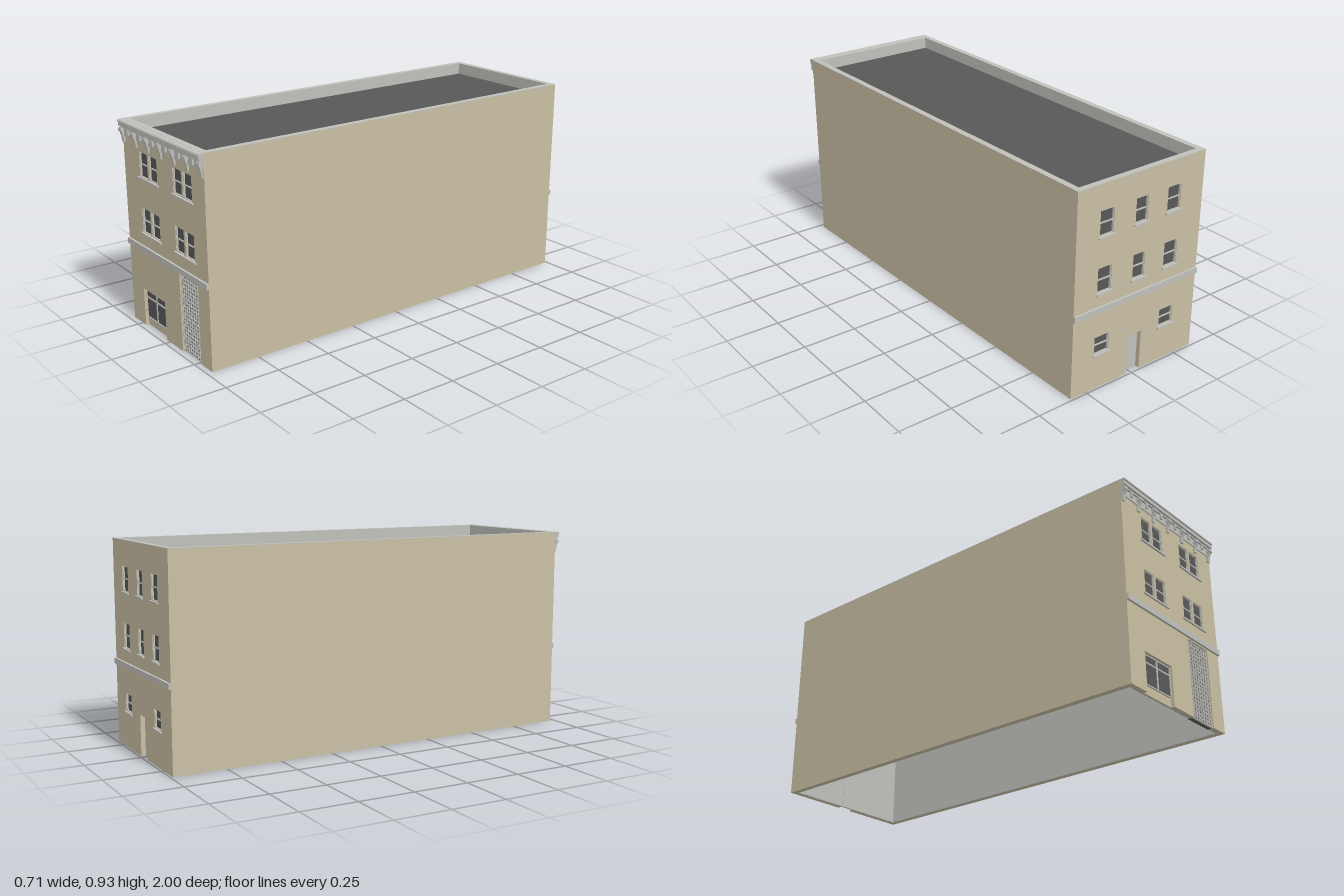
import * as THREE from 'three';
import { mergeGeometries } from 'three/addons/utils/BufferGeometryUtils.js';

const stone = new THREE.MeshStandardMaterial({ color: 0xc9bfa3 });
stone.name = 'tan stone';
const trim = new THREE.MeshStandardMaterial({ color: 0xc0c0bb });
trim.name = 'light grey trim';
const dark = new THREE.MeshStandardMaterial({ color: 0x585858 });
dark.name = 'dark grey glass and roofing';

const H = 0.925, HALF = 0.3415, FRONT = 0.975, BACK = -0.99, WALL = 0.022, LINER = 0.006;

// The plan is a slight parallelogram: x slides with z
const SHEAR = 0.0122;
const shear = new THREE.Matrix4().set(1, 0, SHEAR, 0, 0, 1, 0, 0, 0, 0, 1, 0, 0, 0, 0, 1);

// Box given by its limits on each axis
function box(x0, x1, y0, y1, z0, z1) {
  return new THREE.BoxGeometry(x1 - x0, y1 - y0, z1 - z0)
    .translate((x0 + x1) / 2, (y0 + y1) / 2, (z0 + z1) / 2);
}

function rectPath(PathType, x0, x1, y0, y1) {
  return new PathType([[x0, y0], [x1, y0], [x1, y1], [x0, y1]].map(p => new THREE.Vector2(...p)));
}

// Extruded profile (z, y) running along x from x0 to x1
function profile(points, x0, x1) {
  const s = new THREE.Shape(points.map(([z, y]) => new THREE.Vector2(-z, y)));
  return new THREE.ExtrudeGeometry(s, { depth: x1 - x0, bevelEnabled: false })
    .rotateY(Math.PI / 2).translate(x0, 0, 0);
}

function add(parent, name, material, geos) {
  const list = [].concat(geos).map(g => (g.index ? g.toNonIndexed() : g));
  const mesh = new THREE.Mesh(mergeGeometries(list).applyMatrix4(shear), material);
  mesh.name = name;
  parent.add(mesh);
}

// Facade in its own frame: outer face at z = 0, outward is +z, doorways reach the ground
function facade(name, place, u0, u1, windows, doorways, sills) {
  const group = new THREE.Group();
  group.name = name;
  const put = (part, mat, geos) => add(group, part, mat, [].concat(geos).map(place));

  const outline = [[u0, 0]];
  for (const [a, b, top] of doorways) outline.push([a, 0], [a, top], [b, top], [b, 0]);
  outline.push([u1, 0], [u1, H - 0.003], [u0, H - 0.003]);
  const wall = new THREE.Shape(outline.map(p => new THREE.Vector2(...p)));
  const glass = [], frames = [];
  for (const [a, b, c, d] of windows) {
    wall.holes.push(rectPath(THREE.Path, a, b, c, d));
    glass.push(box(a, b, c, d, -0.014, -0.01));
    const frame = rectPath(THREE.Shape, a, b, c, d);
    const t = 0.003, mid = (c + d) / 2;
    frame.holes.push(rectPath(THREE.Path, a + t, b - t, c + t, d - t));
    frames.push(new THREE.ExtrudeGeometry(frame, { depth: 0.007, bevelEnabled: false }).translate(0, 0, -0.01));
    frames.push(box(a + t, b - t, mid - 0.0025, mid + 0.0025, -0.01, -0.005));
  }
  put('wall', stone, new THREE.ExtrudeGeometry(wall, { depth: WALL, bevelEnabled: false }).translate(0, 0, -WALL));
  put('windowGlass', dark, glass);
  put('windowFrames', trim, frames);
  put('windowSills', trim, sills.map(([a, b, y]) => box(a, b, y - 0.008, y, -0.004, 0.008)));
  put('stringCourse', trim, box(u0, u1, 0.361, 0.386, -0.002, 0.01));
  return { group, put };
}

function frontFacade() {
  const windows = [], sills = [];
  for (const [y0, y1] of [[0.447, 0.56], [0.698, 0.81]]) {
    for (const x of [-0.19, 0.098]) {
      windows.push([x, x + 0.07, y0, y1], [x + 0.082, x + 0.152, y0, y1]);
      sills.push([x - 0.011, x + 0.164, y0]);
    }
  }
  const off = SHEAR * FRONT, u0 = -HALF + off, u1 = HALF + off;
  const { group, put } = facade('frontFacade', g => g.translate(-off, 0, FRONT), u0, u1,
    windows, [[-0.222, -0.03, 0.175], [0.112, 0.265, 0.355]], sills);

  // Recessed shop window
  put('shopPanel', stone, box(-0.222, -0.03, 0, 0.175, -0.022, -0.016));
  put('shopGlass', dark, box(-0.217, -0.035, 0.042, 0.17, -0.016, -0.013));
  put('shopFrame', trim, [
    box(-0.219, -0.033, 0.038, 0.043, -0.016, -0.009), box(-0.219, -0.033, 0.168, 0.172, -0.016, -0.009),
    box(-0.219, -0.215, 0.043, 0.168, -0.016, -0.009), box(-0.037, -0.033, 0.043, 0.168, -0.016, -0.009),
    box(-0.215, -0.037, 0.133, 0.139, -0.013, -0.009), box(-0.13, -0.123, 0.043, 0.168, -0.013, -0.0095)]);

  // Tall entrance screened by an ornamental grille
  put('entrancePanel', dark, box(0.112, 0.265, 0, 0.355, -0.03, -0.014));
  const grille = [], cols = 8, rows = 20, w = 0.149 / cols, h = 0.351 / rows;
  for (let i = 0; i <= cols; i++) {
    const x = 0.114 + i * w;
    grille.push(box(x - 0.0015, x + 0.0015, 0, 0.355, -0.01, -0.006));
    for (let j = 0; j < rows && i < cols; j++) {
      grille.push(new THREE.TorusGeometry(0.0062, 0.0014, 4, 8).translate(x + w / 2, 0.002 + (j + 0.5) * h, -0.008));
    }
  }
  for (let j = 0; j <= rows; j++) {
    const y = 0.002 + j * h;
    grille.push(box(0.112, 0.265, y - 0.001, y + 0.001, -0.0095, -0.0065));
  }
  put('entranceGrille', trim, grille);

  // Stepped cornice
  put('cornice', trim, profile([[-0.002, 0.852], [0.005, 0.852], [0.005, 0.886], [0.012, 0.888], [0.012, 0.894],
    [0.02, 0.896], [0.02, 0.912], [0.025, 0.914], [0.025, 0.919], [0.021, 0.9245], [-0.002, 0.9245]], u0, u1));

  // Scroll brackets with small blocks between them
  const brackets = [];
  for (let i = 0; i < 7; i++) {
    const x = -0.319 + i * 0.1097;
    brackets.push(profile([[0, 0.823], [0.007, 0.823], [0.01, 0.85], [0.017, 0.868], [0.017, 0.89], [0, 0.89]], x - 0.0085, x + 0.0085));
    brackets.push(profile([[0, 0.866], [0.013, 0.866], [0.021, 0.874], [0.021, 0.886], [0, 0.886]], x - 0.0125, x + 0.0125));
    if (i < 6) brackets.push(box(x + 0.05, x + 0.06, 0.864, 0.89, 0, 0.014));
  }
  put('corniceBrackets', trim, brackets);
  return group;
}

function backFacade() {
  const windows = [], sills = [], centres = [-0.173, 0.012, 0.19];
  const addWindow = (x, half, y0, y1) => {
    windows.push([x - half, x + half, y0, y1]);
    sills.push([x - half - 0.008, x + half + 0.008, y0]);
  };
  for (const [y0, y1] of [[0.447, 0.56], [0.698, 0.81]]) {
    centres.forEach((x, i) => addWindow(x, i === 1 ? 0.032 : 0.036, y0, y1));
  }
  addWindow(centres[0], 0.038, 0.163, 0.245);
  addWindow(centres[2], 0.038, 0.163, 0.245);
  const off = -SHEAR * BACK;
  const { group, put } = facade('backFacade', g => g.rotateY(Math.PI).translate(off, 0, BACK),
    -HALF + off, HALF + off, windows, [[-0.026, 0.05, 0.183]], sills);
  put('backDoor', trim, box(-0.026, 0.05, 0, 0.183, -0.03, -0.0205));
  return group;
}

export function createModel() {
  const model = new THREE.Group();
  model.name = 'townBuilding';
  model.add(frontFacade(), backFacade());

  // Long blank side walls
  const z0 = BACK + WALL, z1 = FRONT - WALL, xi = HALF - WALL, xl = xi - LINER;
  for (const s of [-1, 1]) {
    const side = (a, b, ...rest) => box(Math.min(s * a, s * b), Math.max(s * a, s * b), ...rest);
    add(model, s > 0 ? 'leftWall' : 'rightWall', stone, side(xi, HALF, 0, H - 0.003, z0, z1));
    add(model, s > 0 ? 'leftLining' : 'rightLining', trim, side(xl, xi, 0.001, H - 0.003, z0, z1));
    add(model, s > 0 ? 'leftCoping' : 'rightCoping', trim,
      side(xl, HALF, H - 0.003, H, z0 - LINER + 0.012, z1 - LINER));
  }

  // Inner linings and parapet coping at the ends
  add(model, 'endLinings', trim, [
    box(-xl, xl, 0.001, H - 0.003, z1 - LINER, z1), box(-xl, xl, 0.001, H - 0.003, z0, z0 + LINER)]);
  add(model, 'endCoping', trim, [
    box(-HALF, HALF, H - 0.003, H, z1 - LINER, FRONT), box(-HALF, HALF, H - 0.003, H, BACK, z0 + LINER)]);

  // Flat roof sunk behind the parapet, open underneath down to the ground
  add(model, 'roof', dark, box(-xl, xl, 0.855, 0.87, z0 + LINER, z1 - LINER));
  add(model, 'ceiling', trim, box(-xl, xl, 0.847, 0.855, z0 + LINER, z1 - LINER));
  return model;
}
